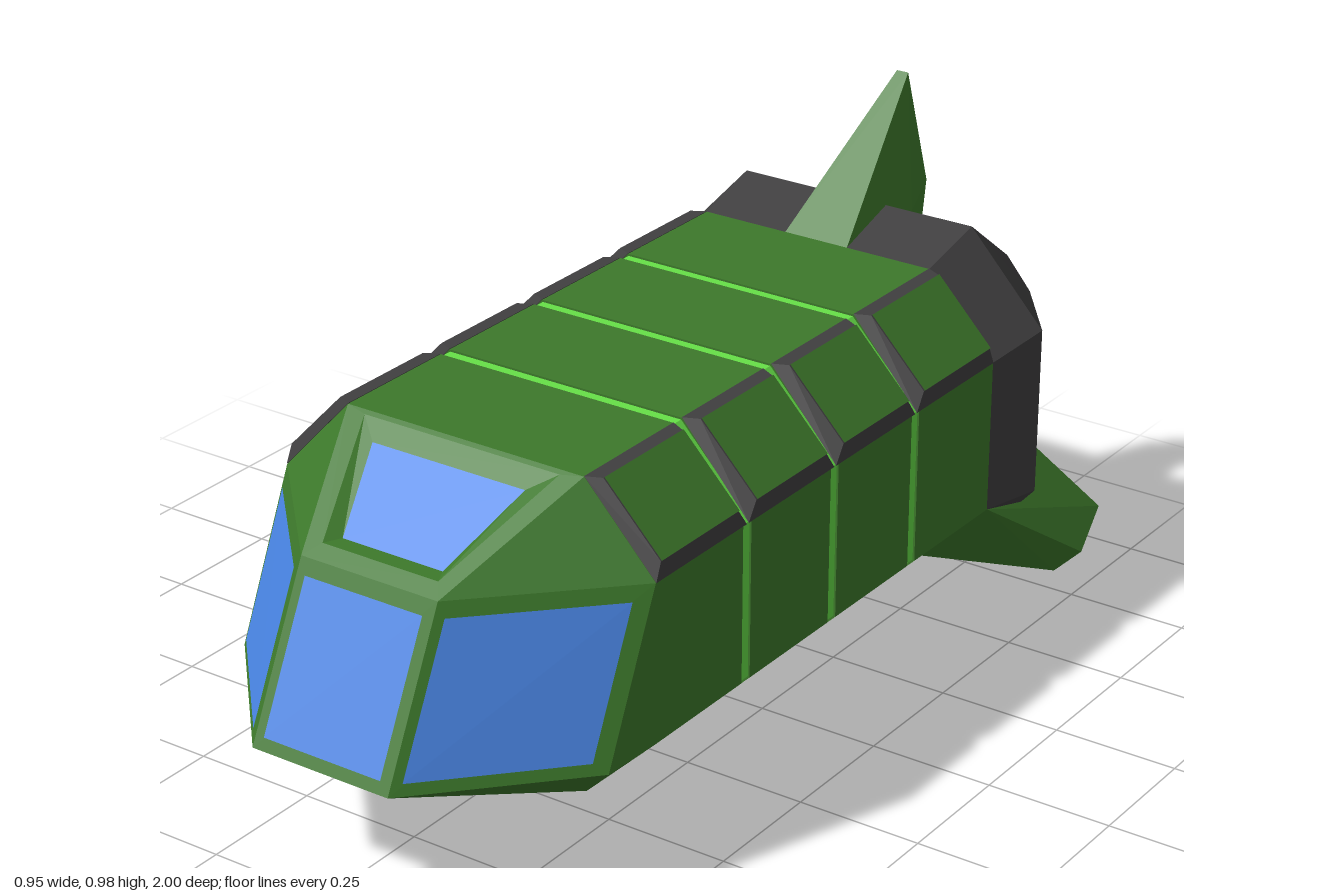
import * as THREE from 'three';
import { ConvexGeometry } from 'three/addons/geometries/ConvexGeometry.js';

const V = (x, y, z) => new THREE.Vector3(x, y, z);
const material = (name, color) => {
  const m = new THREE.MeshStandardMaterial({ color });
  m.name = name;
  return m;
};

export function createModel() {
  const green = material('hullGreen', 0x3d792b);
  const bright = material('brightGreen', 0x66e047);
  const grey = material('darkGrey', 0x403f40);
  const blue = material('windowBlue', 0x4985e4);
  const ship = new THREE.Group();
  ship.name = 'spacecraft';

  const add = (name, geometry, mat) => {
    const mesh = new THREE.Mesh(geometry, mat);
    mesh.name = name;
    ship.add(mesh);
  };
  const solid = (name, points, mat) => add(name, new ConvexGeometry(points), mat);
  const fromTriangles = (points) => {
    const g = new THREE.BufferGeometry().setFromPoints(points);
    g.computeVertexNormals();
    return g;
  };

  // Four-cornered face, lifted off a surface if wanted, facing towards "out"
  const plate = (name, [a, b, c, d], mat, out, lift = 0.003) => {
    const n = c.clone().sub(a).cross(d.clone().sub(b)).normalize();
    const flip = n.dot(out) < 0;
    if (flip) n.negate();
    const [p, q, r, s] = (flip ? [a, d, c, b] : [a, b, c, d])
      .map((v) => v.clone().addScaledVector(n, lift));
    add(name, fromTriangles([p, q, r, p, r, s]), mat);
  };

  // Eight-sided hull cross-section, counter-clockwise seen from the front
  const ring = (z, side, flat, bottom, low, high, top) => [
    V(side, low, z), V(side, high, z), V(flat, top, z), V(-flat, top, z),
    V(-side, high, z), V(-side, low, z), V(-flat, bottom, z), V(flat, bottom, z),
  ];
  const hullRing = (z, inset = 0) => ring(z, 0.41 - inset, 0.26 - inset * 0.4,
    0.105 + inset, 0.25 + inset * 0.4, 0.565 - inset * 0.4, 0.725 - inset);

  // Hull segments with a bright core showing in the joints
  const segments = [[0.58, 0.313], [0.287, 0.028], [0.002, -0.252], [-0.278, -0.55]];
  solid('hullCore', [...hullRing(0.55, 0.004), ...hullRing(-0.54, 0.004)], bright);
  for (const [front, back] of segments) {
    solid('hullSegment', [...hullRing(front), ...hullRing(back)], green);
    // Raised shoulder panels with grey bevels, closing the joint at the lower edge
    for (const s of [-1, 1]) {
      const f = Math.min(front + 0.01, 0.58);
      const b = Math.max(back - 0.01, -0.55);
      const face = [V(s * 0.41, 0.6, front - 0.015), V(s * 0.29, 0.725, front - 0.015),
        V(s * 0.29, 0.725, back + 0.015), V(s * 0.41, 0.6, back + 0.015)];
      solid('shoulderBevel', [V(s * 0.411, 0.565, f), V(s * 0.26, 0.726, front),
        V(s * 0.26, 0.726, back), V(s * 0.411, 0.565, b), ...face], grey);
      plate('shoulderPanel', face, green, V(s, 1, 0));
    }
  }

  // Belly panel and the blue strip in the front joint
  const bellyFace = [V(-0.22, 0.065, -0.295), V(0.22, 0.065, -0.295),
    V(0.22, 0.065, -0.53), V(-0.22, 0.065, -0.53)];
  solid('bellyBevel', [V(-0.26, 0.108, -0.265), V(0.26, 0.108, -0.265),
    V(0.26, 0.108, -0.55), V(-0.26, 0.108, -0.55), ...bellyFace], grey);
  plate('bellyPanel', bellyFace, green, V(0, -1, 0));
  plate('bellyStrip', [V(-0.26, 0.108, 0.313), V(0.26, 0.108, 0.313),
    V(0.26, 0.108, 0.287), V(-0.26, 0.108, 0.287)], blue, V(0, -1, 0));

  // Faceted nose: corners for one side (-1 or 1)
  const chin = (s) => V(s * 0.15, 0.255, 1);
  const brow = (s) => V(s * 0.15, 0.567, 0.85);
  const cheek = (s) => V(s * 0.41, 0.255, 0.72);
  const temple = (s) => V(s * 0.41, 0.565, 0.58);
  const crown = (s) => V(s * 0.26, 0.725, 0.58);
  const jaw = (s) => V(s * 0.41, 0.25, 0.58);
  const keel = (s) => V(s * 0.26, 0.105, 0.58);
  const noseFace = (points, out) => plate('nosePanel', points, green, out, 0);
  // Window placed by fractions across a nose face
  const pane = (name, [a, b, c, d], u0, u1, v0, v1, out) => {
    const at = (u, v) => a.clone().lerp(b, u).lerp(d.clone().lerp(c, u), v);
    plate(name, [at(u0, v0), at(u1, v0), at(u1, v1), at(u0, v1)], blue, out, 0.004);
  };

  const frontFace = [chin(-1), chin(1), brow(1), brow(-1)];
  noseFace(frontFace, V(0, 0, 1));
  pane('frontWindow', frontFace, 0.07, 0.93, 0.07, 0.91, V(0, 0, 1));
  noseFace([chin(-1), chin(1), keel(1), keel(-1)], V(0, -1, 0));
  for (const s of [-1, 1]) {
    const sideFace = [chin(s), cheek(s), temple(s), brow(s)];
    noseFace(sideFace, V(s, 0, 1));
    pane('sideWindow', sideFace, 0.05, 0.91, 0.07, 0.91, V(s, 0, 1));
    noseFace([brow(s), temple(s), crown(s), crown(s)], V(s, 1, 1));
    noseFace([cheek(s), jaw(s), temple(s), temple(s)], V(s, 0, 0));
    noseFace([chin(s), cheek(s), keel(s), keel(s)], V(s, -1, 0));
    noseFace([cheek(s), jaw(s), keel(s), keel(s)], V(s, -1, 0));
  }

  // Roof with a sunken window
  const roof = [brow(-1), brow(1), crown(1), crown(-1)];
  const frame = [V(-0.127, 0.585, 0.819), V(0.127, 0.585, 0.819),
    V(0.215, 0.72, 0.589), V(-0.215, 0.72, 0.589)];
  const roofPane = [V(-0.11, 0.585, 0.785), V(0.11, 0.585, 0.785),
    V(0.168, 0.692, 0.626), V(-0.168, 0.692, 0.626)];
  for (let i = 0; i < 4; i++) {
    const j = (i + 1) % 4;
    noseFace([roof[i], roof[j], frame[j], frame[i]], V(0, 1, 0.5));
    noseFace([frame[i], frame[j], roofPane[j], roofPane[i]], V(0, 1, 0.5));
  }
  plate('roofWindow', roofPane, blue, V(0, 1, 0.5), 0);

  // Engine housing: outer skin, narrow rim, then the inner walls of the nozzle
  const rings = [
    hullRing(-0.55),
    ring(-0.7, 0.432, 0.265, 0.05, 0.238, 0.585, 0.765),
    ring(-0.89, 0.295, 0.24, 0.185, 0.25, 0.57, 0.635),
    ring(-0.77, 0.24, 0.165, 0.245, 0.315, 0.505, 0.575),
  ];
  const skin = [];
  for (let r = 0; r < rings.length - 1; r++) {
    for (let i = 0; i < 8; i++) {
      const j = (i + 1) % 8;
      const [a, b] = [rings[r], rings[r + 1]];
      skin.push(a[i], b[i], a[j], a[j], b[i], b[j]);
    }
  }
  add('engineHousing', fromTriangles(skin), grey);
  const glow = [];
  for (let i = 1; i < 7; i++) glow.push(rings[3][0], rings[3][i + 1], rings[3][i]);
  add('engineGlow', fromTriangles(glow), bright);

  // Fins: base points, with a bright trailing edge
  const fin = (name, base, edge, out) => {
    solid(name, [...base, ...edge], green);
    plate(name + 'Edge', edge, bright, out, 0.002);
  };
  fin('tailFin', [V(-0.072, 0.725, -0.55), V(0.072, 0.725, -0.55), V(0.08, 0.73, -0.78),
    V(-0.08, 0.73, -0.78), V(0.035, 0.635, -0.89), V(-0.035, 0.635, -0.89)],
  [V(-0.013, 0.985, -0.86), V(0.013, 0.985, -0.86), V(0.013, 0.73, -0.945),
    V(-0.013, 0.73, -0.945)], V(0, 0.3, -1));
  for (const s of [-1, 1]) {
    fin('lowerFin', [V(s * 0.41, 0.25, -0.55), V(s * 0.26, 0.105, -0.55),
      V(s * 0.295, 0.25, -0.89), V(s * 0.24, 0.185, -0.89)],
    [V(s * 0.475, 0.06, -0.83), V(s * 0.42, 0.005, -0.82), V(s * 0.4, 0.06, -1),
      V(s * 0.42, 0.08, -1)], V(s, -1, -0.3));
  }
  return ship;
}
